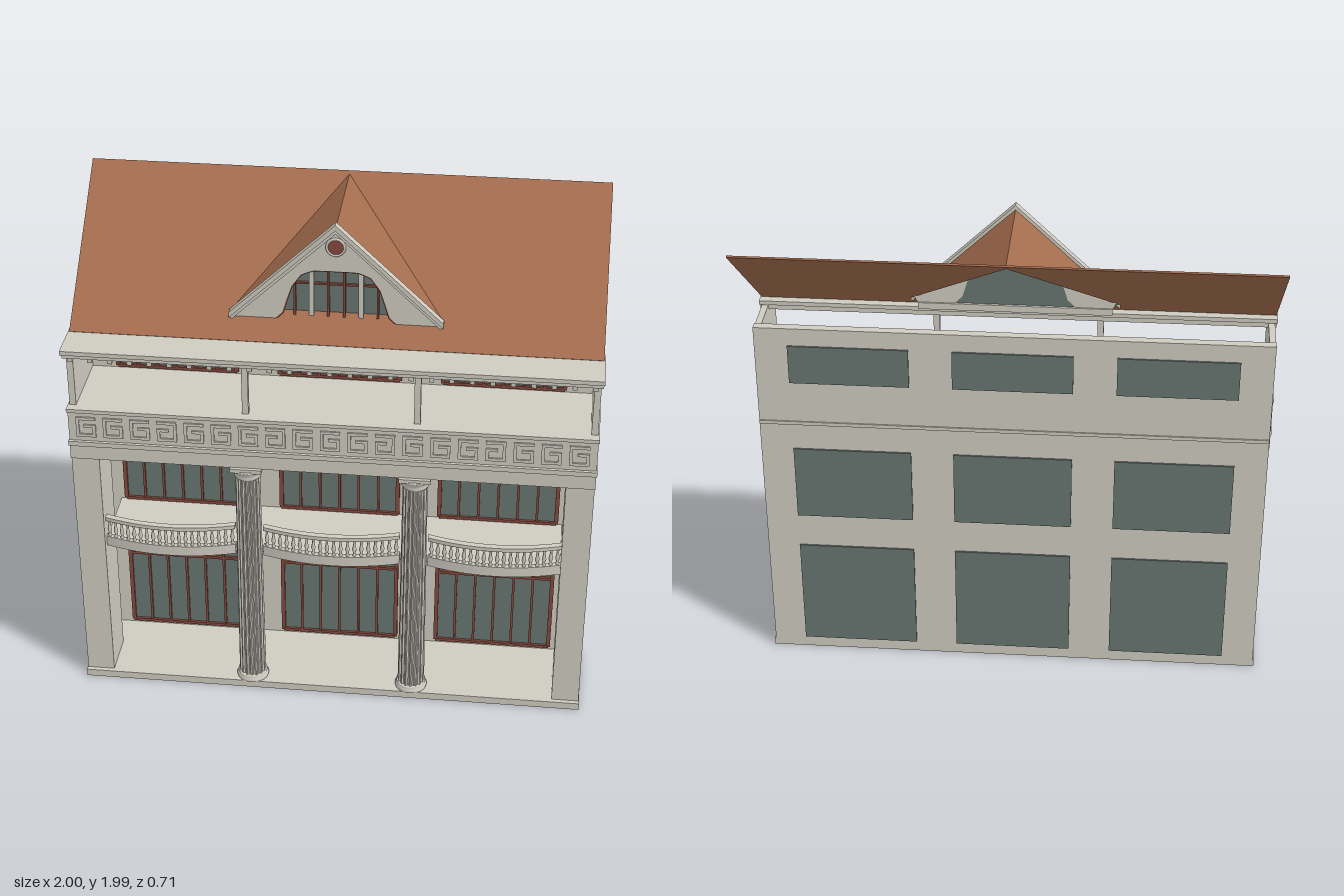
import * as THREE from 'three';

const mat = (name, color) => {
  const m = new THREE.MeshStandardMaterial({ color, side: THREE.DoubleSide });
  m.name = name;
  return m;
};

export function createModel() {
  const stone = mat('stone', 0xcfcbc1);
  const tile = mat('roof tile', 0xa56d4e);
  const glass = mat('glass', 0x687572);
  const wood = mat('window frame', 0x86493d);
  const model = new THREE.Group();
  model.name = 'townhouseFacade';

  const group = (name, parent = model) => {
    const g = new THREE.Group();
    g.name = name;
    parent.add(g);
    return g;
  };
  const add = (name, geo, m, parent = model) => {
    const mesh = new THREE.Mesh(geo, m);
    mesh.name = name;
    parent.add(mesh);
    return mesh;
  };
  // Box given by its lower and upper corners
  const box = (name, m, x0, x1, y0, y1, z0, z1, parent = model) => {
    const b = add(name, new THREE.BoxGeometry(x1 - x0, y1 - y0, z1 - z0), m, parent);
    b.position.set((x0 + x1) / 2, (y0 + y1) / 2, (z0 + z1) / 2);
    return b;
  };
  const shapeOf = (pts) => new THREE.Shape(pts.map(([x, y]) => new THREE.Vector2(x, y)));
  const extrude = (shape, depth) =>
    new THREE.ExtrudeGeometry(shape, { depth, bevelEnabled: false, curveSegments: 16 });

  // Shell: base, back wall, side walls and front piers
  box('base', stone, -0.995, 0.995, 0, 0.03, -0.035, 0.343);
  box('backWall', stone, -0.99, 0.99, 0.03, 1.51, -0.035, 0);
  box('backStringCourse', stone, -0.99, 0.99, 1.085, 1.1, -0.04, -0.034);
  for (const s of [-1, 1]) {
    const span = (a, b) => (s < 0 ? [-b, -a] : [a, b]);
    box('sideWall', stone, ...span(0.965, 0.99), 0.03, 1.26, 0, 0.322);
    box('upperSideWall', stone, ...span(0.965, 0.99), 1.26, 1.5, 0, 0.3);
    box('frontPier', stone, ...span(0.885, 0.992), 0.03, 1.04, 0.14, 0.325);
    box('upperPost', stone, ...span(0.31, 0.334), 1.26, 1.485, 0.27, 0.295);
  }

  // Entablature between the storeys
  box('architrave', stone, -0.994, 0.994, 1.04, 1.1, 0, 0.33);
  box('lowerLedge', stone, -0.997, 0.997, 1.1, 1.12, 0, 0.338);
  box('frieze', stone, -0.994, 0.994, 1.12, 1.245, 0, 0.326);
  box('upperLedge', stone, -0.997, 0.997, 1.245, 1.26, 0, 0.336);

  // Angular relief running along the frieze
  const relief = group('friezeRelief');
  const strokes = [[0, 0.075, 0.073, 0.085], [0, 0.012, 0, 0.085], [0, 0.075, 0, 0.012],
    [0.063, 0.075, 0, 0.053], [0.03, 0.075, 0.041, 0.053]];
  for (let i = 0; i < 19; i++) {
    const cx = (i - 9) * 0.103, flip = i % 4 === 3;
    for (const [a, b, c, d] of strokes) {
      const [l, r] = flip ? [0.075 - b, 0.075 - a] : [a, b];
      box('reliefStroke', stone, cx + l - 0.037, cx + r - 0.037, 1.14 + c, 1.14 + d, 0.325, 0.332, relief);
    }
  }

  // Top cornice with its row of brackets
  const cornice = group('cornice');
  box('corniceSlab', stone, -1, 1, 1.503, 1.52, 0.16, 0.355, cornice);
  box('corniceStep', stone, -0.997, 0.997, 1.48, 1.503, 0.17, 0.335, cornice);
  for (let i = 0; i < 27; i++) {
    const x = (i - 13) * 0.0745;
    box('bracket', stone, x - 0.009, x + 0.009, 1.463, 1.48, 0.29, 0.33, cornice);
  }

  // Windows: glass through the wall, frame and bars on the front
  const addWindow = (cx, y0, y1, transom) => {
    const g = group('window'), w = 0.232, t = 0.006;
    box('pane', glass, cx - w, cx + w, y0, y1, -0.042, 0.004, g);
    for (let i = 0; i <= 6; i++) {
      const x = cx - w + (i * 2 * w) / 6, h = i % 6 ? t * 0.8 : t * 1.3;
      box('mullion', wood, x - h, x + h, y0, y1, 0, 0.013, g);
    }
    for (const y of [y0, transom, y1]) box('crossbar', wood, cx - w, cx + w, y - t, y + t, 0, 0.014, g);
  };
  for (const cx of [-0.63, 0, 0.63]) {
    addWindow(cx, 0.05, 0.515, 0.39);
    addWindow(cx, 0.66, 0.975, 0.89);
    addWindow(cx, 1.275, 1.437, 1.39);
  }

  // Bowed balconies with turned balusters
  const bow = (x, x0, x1) => {
    const t = (2 * (x - x0)) / (x1 - x0) - 1;
    return 0.295 + 0.042 * (1 - t * t);
  };
  const bowedSlab = (name, x0, x1, y, h, inner, parent) => {
    const n = 14, front = [], back = [];
    for (let i = 0; i <= n; i++) {
      const x = x0 + ((x1 - x0) * i) / n, z = bow(x, x0, x1);
      front.push([x, -z]);
      back.unshift([x, -inner(z)]);
    }
    const mesh = add(name, extrude(shapeOf([...front, ...back]), h), stone, parent);
    mesh.rotation.x = -Math.PI / 2;
    mesh.position.y = y;
  };
  const balusterGeo = new THREE.LatheGeometry(
    [[0.007, 0], [0.007, 0.008], [0.004, 0.014], [0.009, 0.03], [0.005, 0.05], [0.004, 0.06], [0.007, 0.067], [0.007, 0.075]]
      .map(([r, y]) => new THREE.Vector2(r, y)), 8);
  for (const [x0, x1] of [[-0.885, -0.375], [-0.265, 0.265], [0.375, 0.885]]) {
    const g = group('balcony');
    bowedSlab('balconyFloor', x0, x1, 0.62, 0.03, () => 0, g);
    bowedSlab('bottomRail', x0, x1, 0.65, 0.013, (z) => z - 0.022, g);
    bowedSlab('handrail', x0, x1, 0.735, 0.016, (z) => z - 0.025, g);
    for (let i = 0; i < 20; i++) {
      const x = x0 + ((i + 0.5) / 20) * (x1 - x0);
      add('baluster', balusterGeo, stone, g).position.set(x, 0.661, bow(x, x0, x1) - 0.012);
    }
  }
  for (const s of [-1, 1]) box('balconyLink', stone, s * 0.32 - 0.056, s * 0.32 + 0.056, 0.62, 0.65, 0, 0.27);

  // Fluted columns
  const flutes = [];
  for (let i = 0; i < 64; i++) {
    const a = (i / 64) * Math.PI * 2, r = [0.053, 0.053, 0.047, 0.047][i % 4];
    flutes.push([Math.cos(a) * r, Math.sin(a) * r]);
  }
  const shaftGeo = extrude(shapeOf(flutes), 0.93).rotateX(-Math.PI / 2);
  const pos = shaftGeo.attributes.position;
  for (let i = 0; i < pos.count; i++) {
    const k = 1 - 0.1 * (pos.getY(i) / 0.93);
    pos.setX(i, pos.getX(i) * k);
    pos.setZ(i, pos.getZ(i) * k);
  }
  shaftGeo.computeVertexNormals();
  const lathe = (pts) => new THREE.LatheGeometry(pts.map(([r, y]) => new THREE.Vector2(r, y)), 28);
  const footGeo = lathe([[0.062, 0], [0.064, 0.008], [0.06, 0.014], [0.057, 0.02], [0.058, 0.028], [0, 0.028]]);
  const capGeo = lathe([[0.047, 0], [0.052, 0.006], [0.049, 0.014], [0.051, 0.024], [0.059, 0.036], [0.06, 0.045], [0, 0.045]]);
  for (const s of [-1, 1]) {
    const g = group('column');
    g.position.set(s * 0.32, 0.03, 0.289);
    add('columnFoot', footGeo, stone, g);
    add('columnShaft', shaftGeo, stone, g).position.y = 0.025;
    add('columnCapital', capGeo, stone, g).position.y = 0.955;
    box('columnAbacus', stone, -0.06, 0.06, 0.995, 1.012, -0.058, 0.055, g);
  }

  // Sloping roof with an opening under the dormer
  const slope = Math.hypot(0.555, 0.455);
  const roofShape = shapeOf([[-0.995, 0], [0.995, 0], [0.995, slope], [-0.995, slope]]);
  roofShape.holes.push(shapeOf([[-0.375, 0.135], [0, 0.69], [0.375, 0.135]]));
  const roof = add('mainRoof', extrude(roofShape, 0.007), tile);
  roof.rotation.x = -Math.atan2(0.555, 0.455);
  roof.position.set(0, 1.516, 0.2);

  // Dormer roof: two triangular slopes meeting at a ridge
  const dormer = group('dormer');
  for (const s of [-1, 1]) {
    const a = [0, 1.967, 0.12], b = [0, 1.967, -0.34], c = [s * 0.39, 1.605, 0.1];
    const geo = new THREE.BufferGeometry();
    geo.setAttribute('position', new THREE.Float32BufferAttribute(s > 0 ? [...a, ...c, ...b] : [...a, ...b, ...c], 3));
    geo.computeVertexNormals();
    add('dormerSlope', geo, tile, dormer);
  }

  // Gable wall with a bell-shaped window and a round light
  const half = [[0.23, 1.58], [0.2, 1.61], [0.185, 1.66], [0.165, 1.72], [0.13, 1.77], [0.08, 1.79]];
  const bell = [...half, ...half.map(([x, y]) => [-x, y]).reverse()];
  const gable = shapeOf([[-0.37, 1.575], [-0.235, 1.575], ...[...bell].reverse(), [0.235, 1.575],
    [0.37, 1.575], [0.385, 1.605], [0, 1.965], [-0.385, 1.605]]);
  add('gableWall', extrude(gable, 0.04), stone, dormer).position.z = 0.088;
  add('gableGlass', extrude(shapeOf(bell), 0.006), glass, dormer).position.z = 0.092;
  box('gableSill', stone, -0.37, 0.37, 1.553, 1.58, 0.082, 0.125, dormer);
  const bellCurve = new THREE.CatmullRomCurve3(bell.map(([x, y]) => new THREE.Vector3(x, y, 0.122)), false, 'catmullrom', 0.2);
  add('gableWindowFrame', new THREE.TubeGeometry(bellCurve, 50, 0.006, 6), wood, dormer);
  for (const [x, top, m, w] of [[-0.155, 1.73, wood, 0.004], [0.155, 1.73, wood, 0.004], [-0.03, 1.79, wood, 0.004],
    [0.03, 1.79, wood, 0.004], [-0.092, 1.785, stone, 0.009], [0.092, 1.785, stone, 0.009]])
    box('gableMullion', m, x - w, x + w, 1.58, top, 0.098, 0.115, dormer);
  box('gableCrossbar', wood, -0.165, 0.165, 1.722, 1.729, 0.098, 0.108, dormer);
  add('roundLight', new THREE.CylinderGeometry(0.03, 0.03, 0.008, 28).rotateX(Math.PI / 2), wood, dormer)
    .position.set(0, 1.89, 0.128);
  add('roundLightRing', new THREE.TorusGeometry(0.033, 0.005, 8, 28), stone, dormer).position.set(0, 1.89, 0.13);

  // Raking mouldings along the gable
  for (const s of [-1, 1]) {
    const rake = (name, out, inn, z, d) => {
      const pts = [[0, 1.985 - out], [s * 0.4, 1.605 - out], [s * 0.4, 1.605 - inn], [0, 1.985 - inn]];
      add(name, extrude(shapeOf(pts), d), stone, dormer).position.z = z;
    };
    rake('rakeCrown', 0, 0.022, 0.115, 0.03);
    rake('rakeBand', 0.022, 0.04, 0.115, 0.02);
  }
  return model;
}
